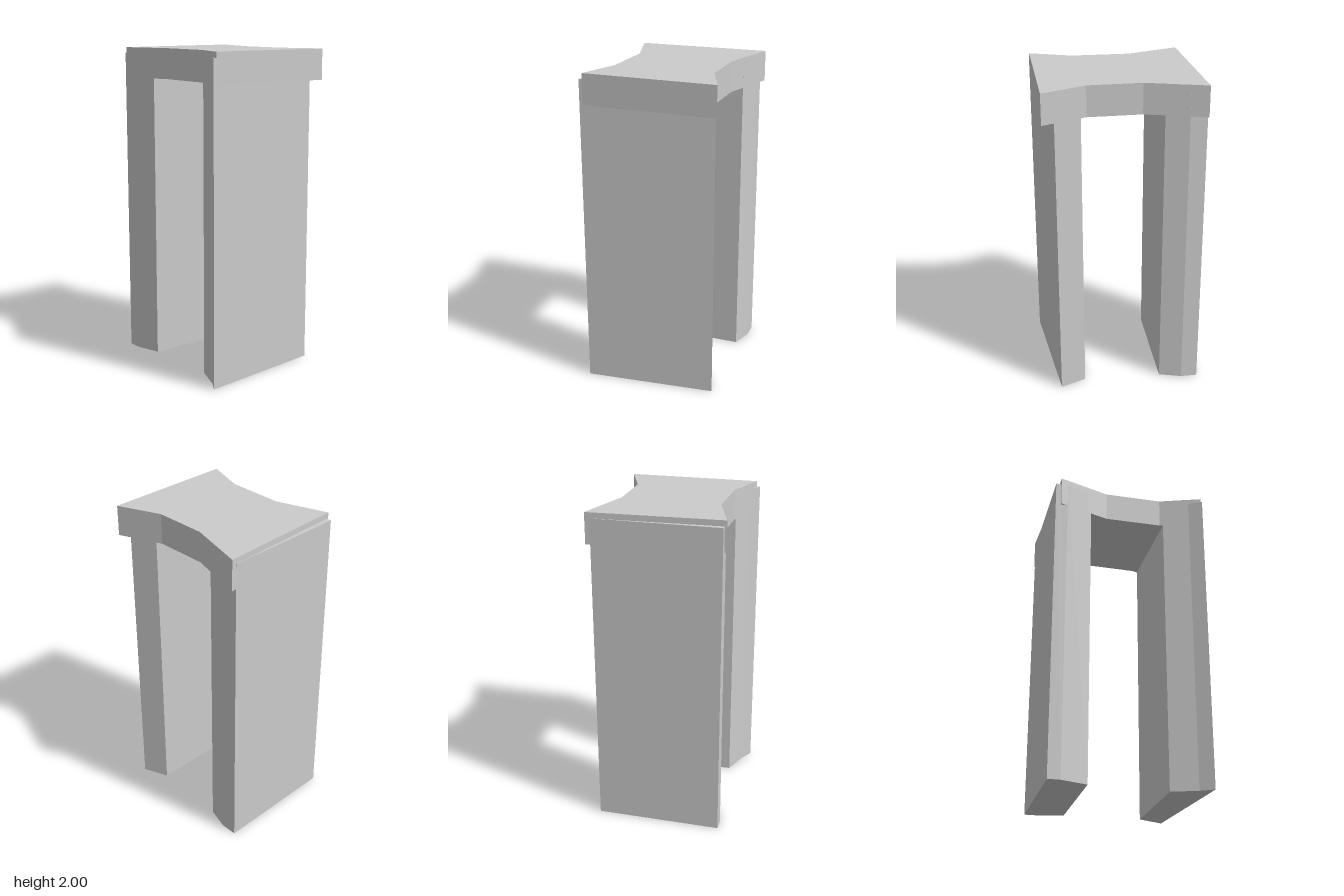
import * as THREE from 'three';

// Upright prism from a plan outline of [x, z] points
function prism(name, plan, bottom, top, material) {
  const shape = new THREE.Shape(plan.map(([x, z]) => new THREE.Vector2(x, -z)));
  const geometry = new THREE.ExtrudeGeometry(shape, { depth: top - bottom, bevelEnabled: false });
  geometry.rotateX(-Math.PI / 2).translate(0, bottom, 0);
  const mesh = new THREE.Mesh(geometry, material);
  mesh.name = name;
  return mesh;
}

export function createModel() {
  const group = new THREE.Group();
  group.name = 'archway';
  const stone = new THREE.MeshStandardMaterial({ color: 0xcccccc, flatShading: true });

  // Lintel slab with a pinched middle, front and back
  const lintel = [
    [-0.488, -0.422], [-0.12, -0.314], [0.21, -0.314], [0.48, -0.422],
    [0.485, 0.4], [0.225, 0.306], [-0.135, 0.298], [-0.455, 0.4],
  ];
  // Pillars follow the slab's edges, then flare or square off at their outer corners
  const leftPillar = [
    [0.245, -0.328], [0.405, -0.392], [0.486, 0.42], [0.405, 0.372], [0.245, 0.313],
  ];
  const rightPillar = [
    [-0.245, -0.351], [-0.385, -0.392], [-0.488, -0.392],
    [-0.488, 0.386], [-0.41, 0.386], [-0.245, 0.333],
  ];

  group.add(
    prism('lintel', lintel, 1.81, 2, stone),
    prism('leftPillar', leftPillar, 0, 1.965, stone),
    prism('rightPillar', rightPillar, 0, 1.965, stone),
  );
  return group;
}
